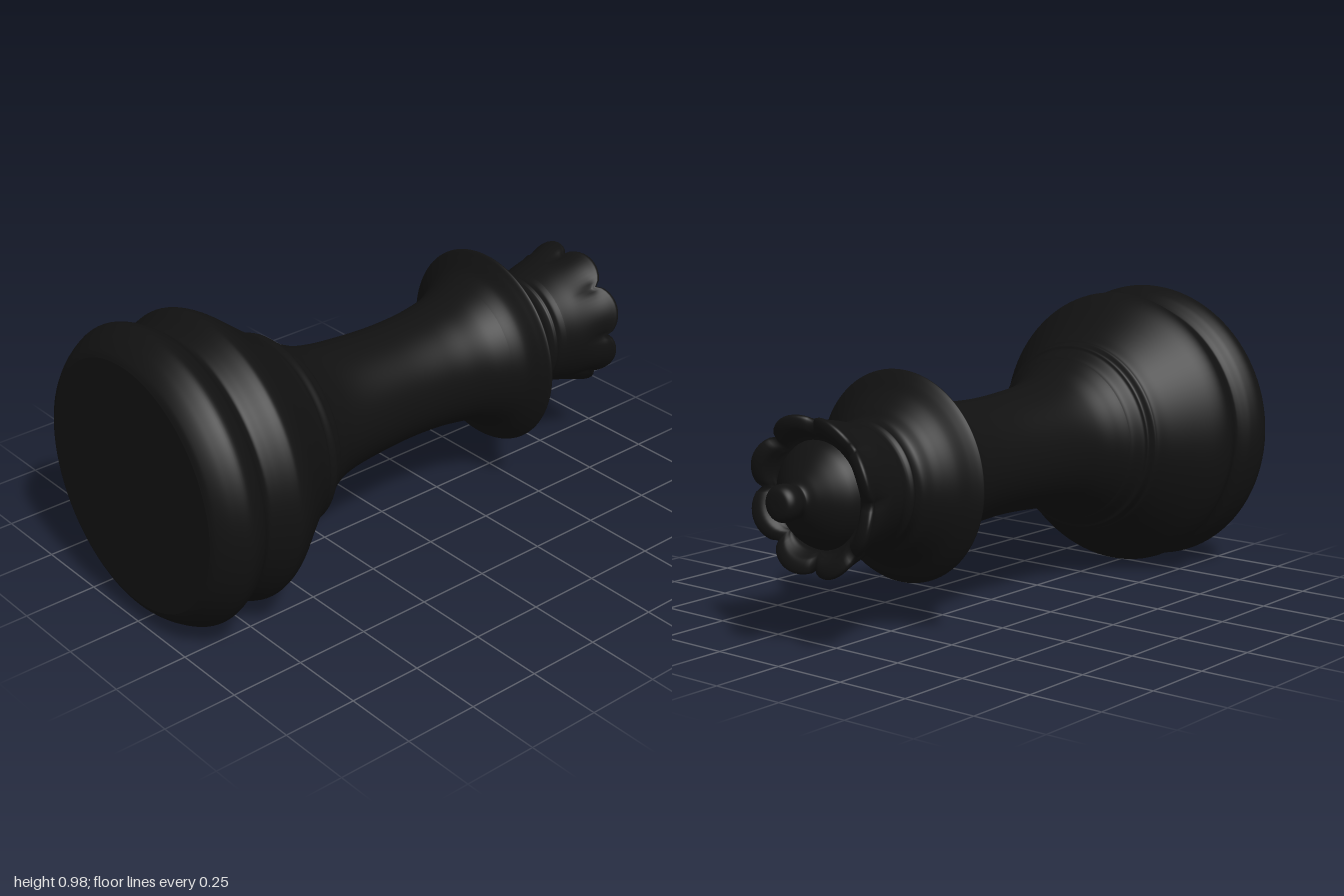
import * as THREE from 'three';
import { mergeVertices } from 'three/addons/utils/BufferGeometryUtils.js';

const material = new THREE.MeshStandardMaterial({ color: 0x111111 });
const SEGMENTS = 96;
const LOBES = 8;

// Smooth lathe through [radius, height] pairs
function turned(name, pairs, samples) {
  const curve = new THREE.SplineCurve(pairs.map(([r, h]) => new THREE.Vector2(r, h)));
  const points = curve.getPoints(samples);
  points.forEach((p) => { p.x = Math.max(p.x, 0); });
  const mesh = new THREE.Mesh(new THREE.LatheGeometry(points, SEGMENTS), material);
  mesh.name = name;
  return mesh;
}

// Cut evenly spaced rounded lobes into the upper part of the crown
function scallop(mesh) {
  const pos = mesh.geometry.attributes.position;
  for (let i = 0; i < pos.count; i++) {
    const x = pos.getX(i), y = pos.getY(i), z = pos.getZ(i);
    const angle = Math.atan2(x, z);
    const notch = 1 - Math.pow(Math.abs(Math.sin(angle * LOBES / 2)), 0.6);
    const k = 1 - 0.1 * notch * THREE.MathUtils.smoothstep(y, 1.72, 1.84);
    const drop = 0.035 * notch * THREE.MathUtils.smoothstep(y, 1.8, 1.865);
    pos.setXYZ(i, x * k, y - drop, z * k);
  }
  // Weld the seam so the recomputed normals are continuous
  mesh.geometry.deleteAttribute('uv');
  mesh.geometry.deleteAttribute('normal');
  mesh.geometry = mergeVertices(mesh.geometry);
  mesh.geometry.computeVertexNormals();
  return mesh;
}

export function createModel() {
  const group = new THREE.Group();
  group.name = 'chessQueen';

  // Piece is turned upright, then laid down with its base towards +z
  const piece = new THREE.Group();
  piece.name = 'piece';
  piece.rotation.x = -Math.PI / 2;
  piece.position.set(0, 0.49, 1);
  group.add(piece);

  // Flat underside
  const underside = new THREE.Mesh(new THREE.CircleGeometry(0.41, SEGMENTS), material);
  underside.name = 'underside';
  underside.rotation.x = Math.PI / 2;
  piece.add(underside);

  // Double-moulded foot with the small ledge above it
  piece.add(turned('base', [
    [0.41, 0], [0.432, 0.012], [0.465, 0.05], [0.488, 0.1], [0.472, 0.15],
    [0.447, 0.18], [0.439, 0.2], [0.452, 0.23], [0.472, 0.27], [0.476, 0.3],
    [0.455, 0.345], [0.405, 0.41], [0.355, 0.475], [0.333, 0.51], [0.322, 0.522],
    [0.318, 0.55], [0.303, 0.56], [0.285, 0.59], [0.275, 0.6],
  ], 140));

  // Slender waisted stem
  piece.add(turned('stem', [
    [0.275, 0.6], [0.253, 0.64], [0.225, 0.71], [0.207, 0.82], [0.196, 1],
    [0.199, 1.14], [0.209, 1.23], [0.222, 1.3], [0.245, 1.36],
  ], 60));

  // Flared collar and neck beads
  piece.add(turned('collar', [
    [0.245, 1.36], [0.273, 1.4], [0.315, 1.43], [0.337, 1.446], [0.334, 1.456],
    [0.312, 1.475], [0.277, 1.5], [0.247, 1.53], [0.227, 1.552], [0.202, 1.575],
    [0.196, 1.6], [0.201, 1.612], [0.194, 1.626], [0.192, 1.64], [0.198, 1.66],
  ], 110));

  // Scalloped hollow crown
  piece.add(scallop(turned('crown', [
    [0.198, 1.66], [0.207, 1.7], [0.229, 1.78], [0.248, 1.84], [0.253, 1.858],
    [0.246, 1.868], [0.225, 1.868], [0.205, 1.858], [0.19, 1.835], [0.175, 1.818],
    [0.14, 1.81], [0, 1.81],
  ], 90)));

  // Dome and knob in the middle of the crown
  piece.add(turned('finial', [
    [0.172, 1.805], [0.153, 1.84], [0.12, 1.872], [0.08, 1.9], [0.054, 1.915],
    [0.049, 1.927], [0.056, 1.948], [0.057, 1.975], [0.045, 1.994], [0.02, 2],
    [0, 2],
  ], 60));

  return group;
}
